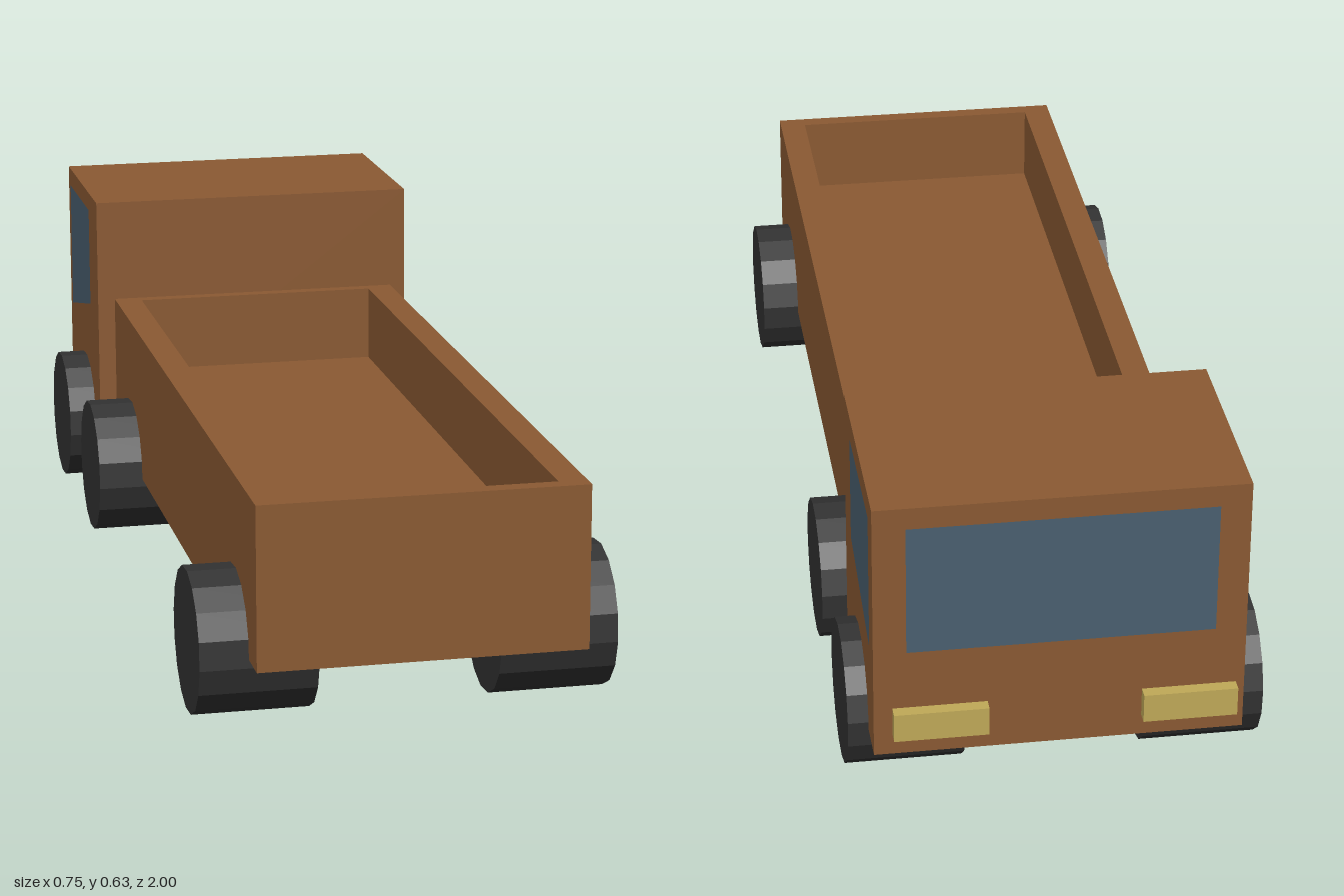
import * as THREE from 'three';

const paint = new THREE.MeshStandardMaterial({ color: 0x8b5a33, flatShading: true });
const rubber = new THREE.MeshStandardMaterial({ color: 0x333333, flatShading: true });
const glass = new THREE.MeshStandardMaterial({ color: 0x4a6070, side: THREE.DoubleSide });
const lampYellow = new THREE.MeshStandardMaterial({ color: 0xc0aa58, flatShading: true });

function add(parent, name, geometry, material) {
  const mesh = new THREE.Mesh(geometry, material);
  mesh.name = name;
  parent.add(mesh);
  return mesh;
}

// Box given by its minimum and maximum corners
function boxBetween([x0, y0, z0], [x1, y1, z1]) {
  return new THREE.BoxGeometry(x1 - x0, y1 - y0, z1 - z0)
    .translate((x0 + x1) / 2, (y0 + y1) / 2, (z0 + z1) / 2);
}

function rectangle(path, x0, y0, x1, y1) {
  path.moveTo(x0, y0);
  path.lineTo(x1, y0);
  path.lineTo(x1, y1);
  path.lineTo(x0, y1);
  path.closePath();
  return path;
}

export function createModel() {
  const truck = new THREE.Group();
  truck.name = 'truck';

  // Open cargo bed: four walls in one ring, with a raised floor inside
  const bed = new THREE.Group();
  bed.name = 'cargoBed';
  truck.add(bed);
  const ring = rectangle(new THREE.Shape(), -0.288, -1, 0.302, 0.55);
  ring.holes.push(rectangle(new THREE.Path(), -0.235, -0.97, 0.25, 0.525));
  const walls = new THREE.ExtrudeGeometry(ring, { depth: 0.299, bevelEnabled: false });
  walls.rotateX(-Math.PI / 2).translate(0, 0.135, 0);
  add(bed, 'bedWalls', walls, paint);
  add(bed, 'bedFloor', boxBetween([-0.235, 0.135, -0.525], [0.25, 0.285, 0.97]), paint);

  // Cab
  const cab = new THREE.Group();
  cab.name = 'cab';
  truck.add(cab);
  add(cab, 'cabBody', boxBetween([-0.32, 0.135, -0.977], [0.338, 0.635, -0.572]), paint);

  // Windscreen faces -z
  const screen = new THREE.ShapeGeometry(rectangle(new THREE.Shape(), -0.28, 0.345, 0.265, 0.595));
  screen.rotateY(Math.PI).translate(0, 0, -0.979);
  add(cab, 'windscreen', screen, glass);

  // Side windows, with a sill that drops towards the windscreen
  const pane = new THREE.Shape([[0.672, 0.397], [0.94, 0.338], [0.94, 0.6], [0.672, 0.6]]
    .map(([x, y]) => new THREE.Vector2(x, y)));
  for (const [name, x] of [['leftWindow', 0.34], ['rightWindow', -0.322]]) {
    const geometry = new THREE.ShapeGeometry(pane).rotateY(Math.PI / 2).translate(x, 0, 0);
    // rotateY turns +x of the pane to -z; the normal is flipped for the other side
    if (x < 0) {
      geometry.index.array.reverse();
      geometry.computeVertexNormals();
    }
    add(cab, name, geometry, glass);
  }

  // Headlamps
  for (const x of [-0.305, 0.137]) {
    add(cab, 'headlamp', boxBetween([x, 0.175, -1], [x + 0.168, 0.23, -0.97]), lampYellow);
  }

  // Six wide wheels in three pairs
  const wheel = new THREE.CylinderGeometry(0.132, 0.132, 0.212, 16);
  wheel.rotateZ(Math.PI / 2).rotateX(0.118);
  for (const z of [-0.768, -0.35, 0.798]) {
    for (const side of [-1, 1]) {
      add(truck, 'wheel', wheel, rubber).position.set(side * 0.269, 0.135, z);
    }
  }

  // The whole truck leans very slightly to one side
  truck.rotation.z = 0.005;
  return truck;
}
